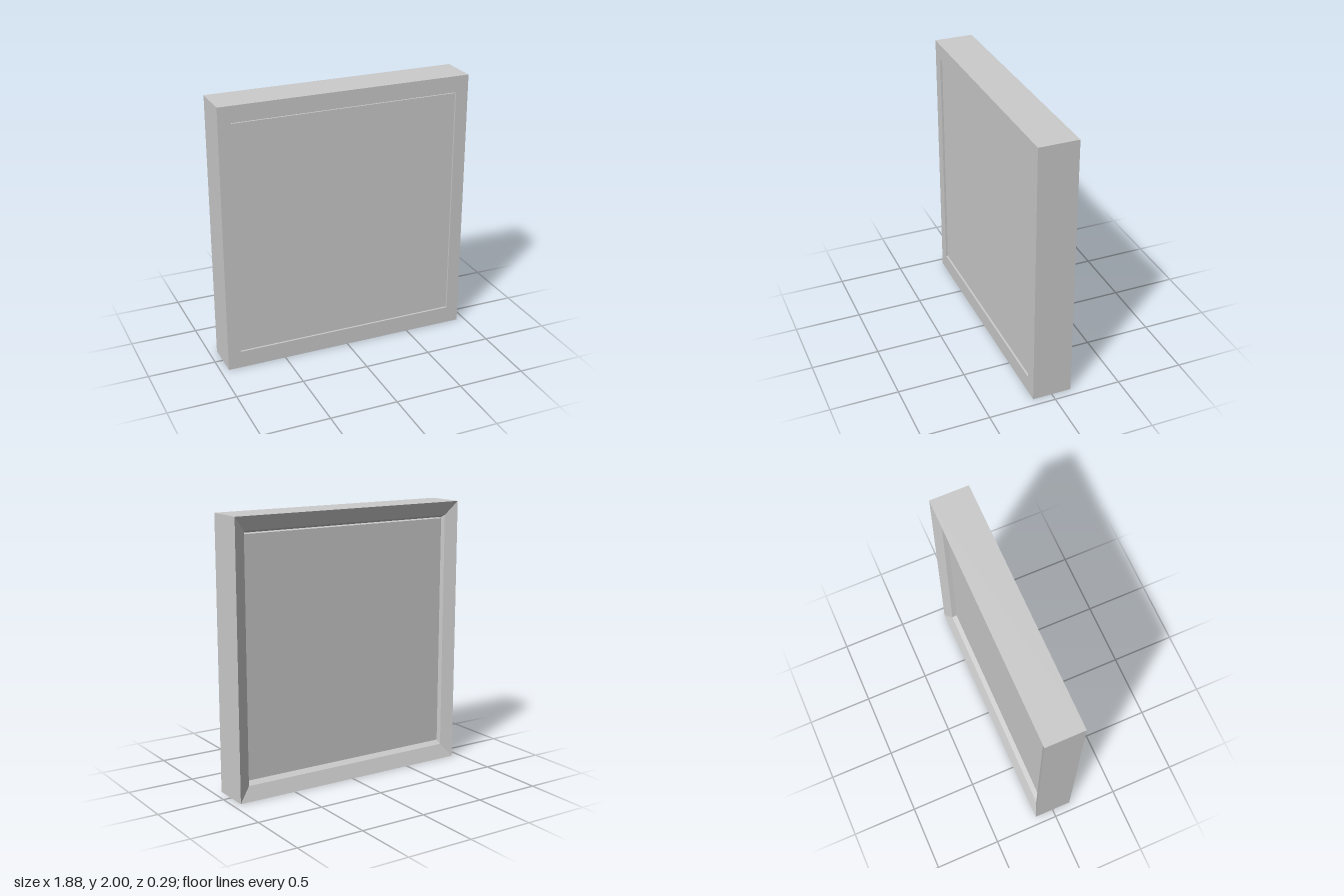
import * as THREE from 'three';

const material = new THREE.MeshStandardMaterial({ color: 0xcccccc, flatShading: true });

// Rectangular ring of four corners, counter-clockwise seen from the front
const ring = (x, bottom, top, z) => [[-x, bottom, z], [x, bottom, z], [x, top, z], [-x, top, z]];

// Mitred frame: joins each rectangular ring to the next, closing back on the first
function frameGeometry(rings) {
  const positions = [];
  rings.forEach((a, i) => {
    const b = rings[(i + 1) % rings.length];
    for (let k = 0; k < 4; k++) {
      const n = (k + 1) % 4;
      for (const p of [a[k], a[n], b[n], a[k], b[n], b[k]]) positions.push(...p);
    }
  });
  const geometry = new THREE.BufferGeometry();
  geometry.setAttribute('position', new THREE.Float32BufferAttribute(positions, 3));
  geometry.computeVertexNormals();
  return geometry;
}

export function createModel() {
  const group = new THREE.Group();
  group.name = 'framedPanel';

  // Frame: flat front, straight opening, two bevels sloping out to a sharp back edge
  const frame = new THREE.Mesh(frameGeometry([
    ring(0.94, 0, 2, 0.145),
    ring(0.845, 0.13, 1.88, 0.145),
    ring(0.845, 0.13, 1.88, -0.07),
    ring(0.852, 0.103, 1.897, -0.105),
    ring(0.94, 0, 2, -0.145),
  ]), material);
  frame.name = 'frame';
  group.add(frame);

  // Panel: slightly recessed in front, with a narrow gap above it
  const panel = new THREE.Mesh(new THREE.BoxGeometry(1.69, 1.74, 0.2), material);
  panel.name = 'panel';
  panel.position.set(0, 1.0, 0.03);
  group.add(panel);

  return group;
}
